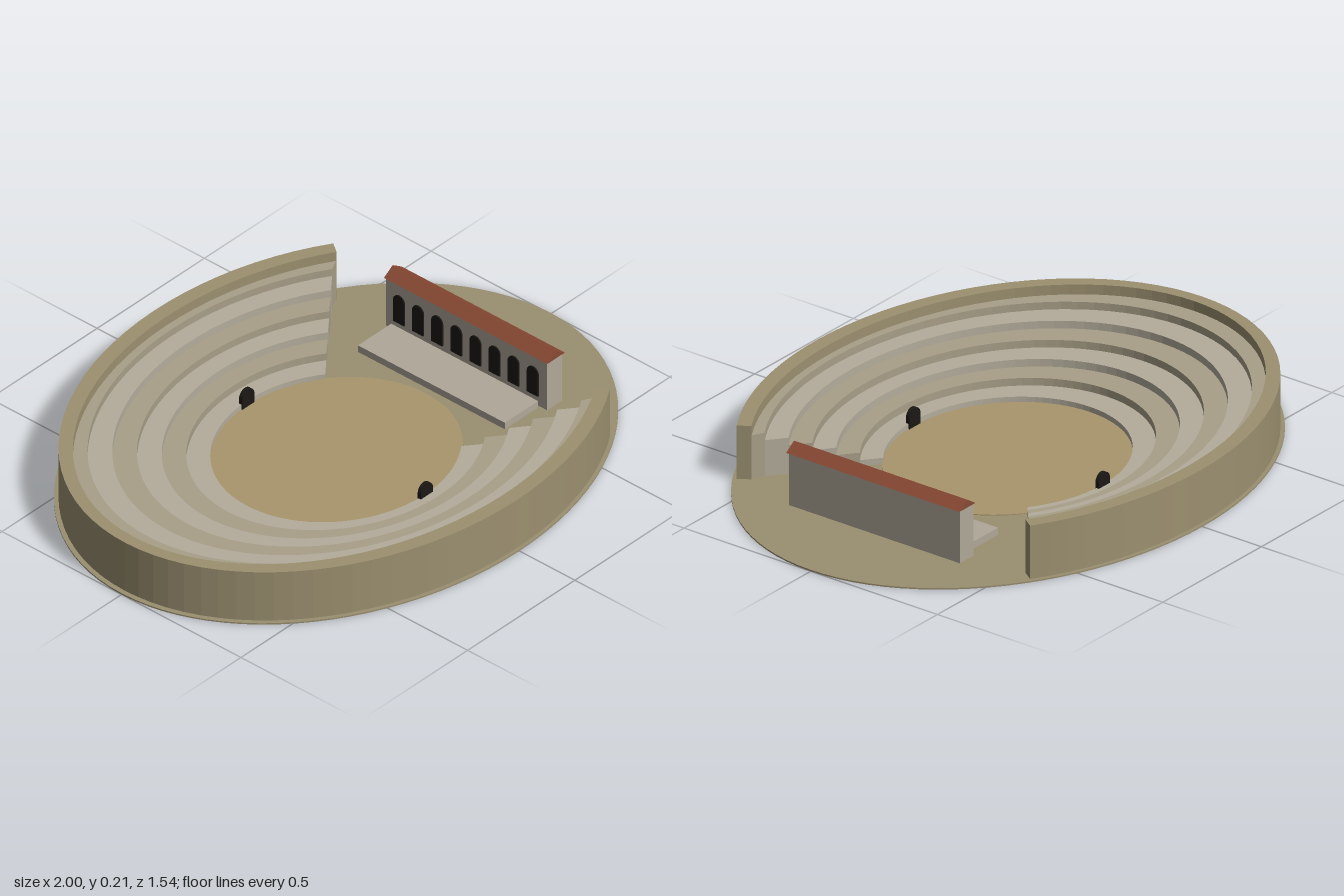
import * as THREE from 'three';

const mat = (color) => new THREE.MeshStandardMaterial({ color });
const earth = mat(0x9a8f70), sand = mat(0xa8966c), stone = mat(0xb4ad9c), stoneDark = mat(0xa89f88);
const wallStone = mat(0x9c9070), plaster = mat(0xb0a899), tile = mat(0x8a4a34), dark = mat(0x1c1814);

const GAP = THREE.MathUtils.degToRad(50); // half of the opening towards +x
const SEGMENTS = 64;

function add(parent, name, geometry, material, x = 0, y = 0, z = 0) {
  const mesh = new THREE.Mesh(geometry, material);
  mesh.name = name;
  mesh.position.set(x, y, z);
  parent.add(mesh);
  return mesh;
}

// Upright solid: elliptical ring with the stage sector left open
function openRing(inner, outer, bottom, top) {
  const points = [];
  const arc = ([rx, rz], reverse) => {
    for (let i = 0; i <= SEGMENTS; i++) {
      const k = (reverse ? SEGMENTS - i : i) / SEGMENTS;
      const t = GAP + k * 2 * (Math.PI - GAP);
      points.push(new THREE.Vector2(rx * Math.cos(t), rz * Math.sin(t)));
    }
  };
  arc(outer, false);
  arc(inner, true);
  return new THREE.ExtrudeGeometry(new THREE.Shape(points), { depth: top - bottom, bevelEnabled: false })
    .rotateX(-Math.PI / 2).translate(0, bottom, 0);
}

// Flat elliptical disc from y = bottom to y = top
function disc(rx, rz, bottom, top) {
  return new THREE.CylinderGeometry(1, 1, top - bottom, 96)
    .scale(rx, 1, rz).translate(0, (top + bottom) / 2, 0);
}

// Round-headed opening standing on y = 0, facing along z
function arch(width, height, depth) {
  const r = width / 2;
  const shape = new THREE.Shape();
  shape.moveTo(-r, 0);
  shape.lineTo(r, 0);
  shape.lineTo(r, height - r);
  shape.absarc(0, height - r, r, 0, Math.PI, false);
  shape.closePath();
  return new THREE.ExtrudeGeometry(shape, { depth, bevelEnabled: false, curveSegments: 12 })
    .translate(0, 0, -depth / 2);
}

export function createModel() {
  const model = new THREE.Group();
  model.name = 'amphitheatre';

  // Ground and arena floor
  add(model, 'ground', disc(1, 0.768, 0, 0.005), earth);
  add(model, 'arenaFloor', disc(0.42, 0.375, 0.002, 0.008), sand);

  // Stepped seating
  const seating = new THREE.Group();
  seating.name = 'seating';
  model.add(seating);
  const edges = [[0.415, 0.372], [0.505, 0.433], [0.597, 0.495], [0.69, 0.557], [0.783, 0.619], [0.876, 0.681], [0.945, 0.71]];
  for (let i = 0; i < 6; i++) {
    add(seating, `tier${i + 1}`, openRing(edges[i], edges[i + 1], 0.002, 0.026 * (i + 1)), i % 2 ? stoneDark : stone);
  }

  // Outer wall
  add(model, 'outerWall', openRing([0.942, 0.706], [0.983, 0.756], 0.002, 0.19), wallStone);

  // Arena gates at both ends of the short axis
  for (const side of [-1, 1]) {
    add(model, 'arenaGate', arch(0.056, 0.07, 0.014), dark, 0, 0.002, side * 0.374);
  }

  // Stage platform and scene building
  const stage = new THREE.Group();
  stage.name = 'stage';
  model.add(stage);
  add(stage, 'platform', new THREE.BoxGeometry(0.155, 0.028, 0.615), plaster, 0.5225, 0.016, 0);
  add(stage, 'sceneBuilding', new THREE.BoxGeometry(0.07, 0.185, 0.675), plaster, 0.643, 0.0945, 0);

  // Gabled roof
  const gable = new THREE.Shape();
  gable.moveTo(-0.041, 0);
  gable.lineTo(0.041, 0);
  gable.lineTo(0, 0.027);
  gable.closePath();
  const roof = new THREE.ExtrudeGeometry(gable, { depth: 0.684, bevelEnabled: false }).translate(0, 0, -0.342);
  add(stage, 'roof', roof, tile, 0.645, 0.187, 0);

  // Row of arches facing the arena
  const opening = arch(0.046, 0.105, 0.008).rotateY(Math.PI / 2);
  for (let i = 0; i < 8; i++) {
    add(stage, 'archOpening', opening, dark, 0.607, 0.042, (i - 3.5) * 0.08);
  }
  return model;
}
